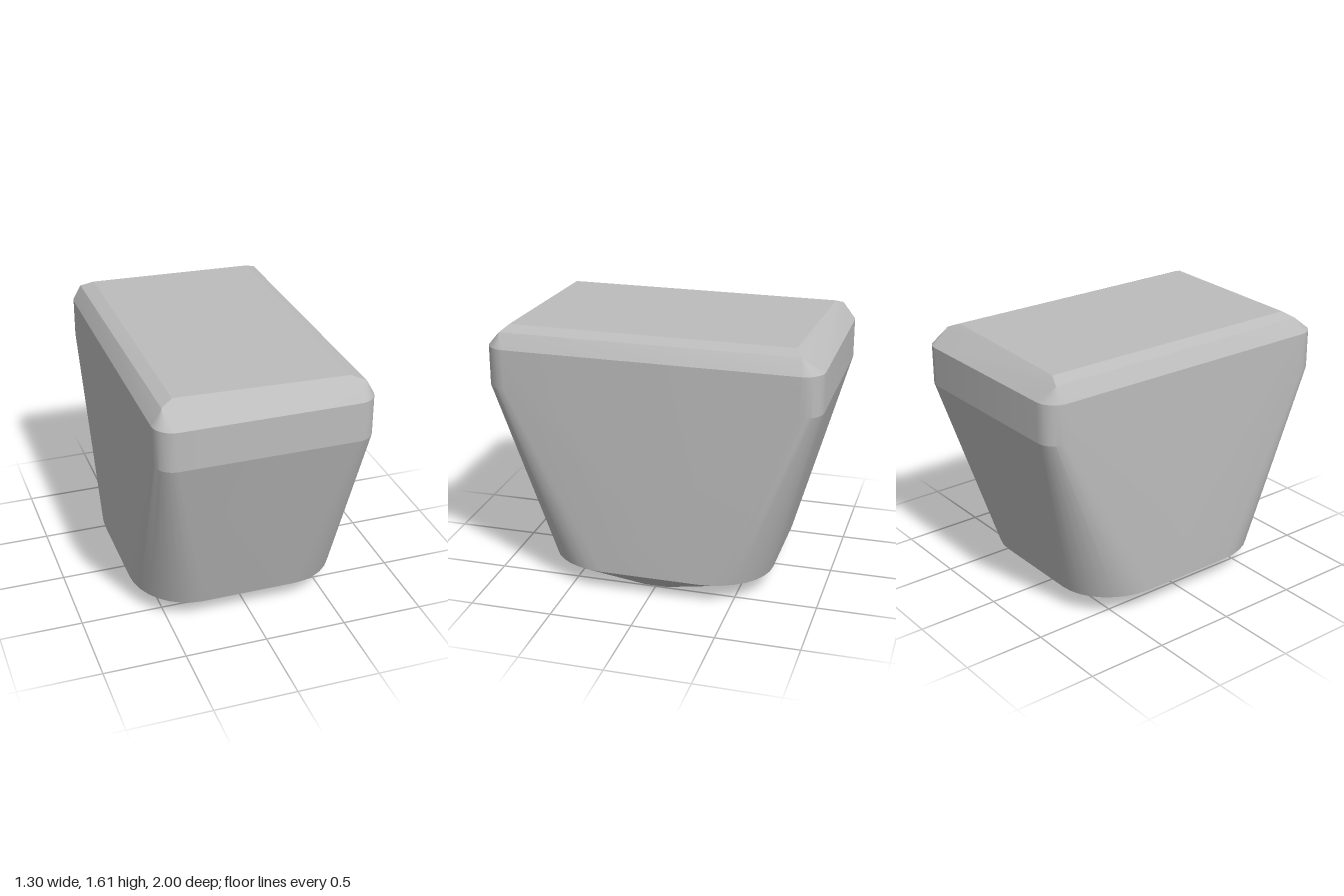
import * as THREE from 'three';
import { ConvexGeometry } from 'three/addons/geometries/ConvexGeometry.js';
import { toCreasedNormals } from 'three/addons/utils/BufferGeometryUtils.js';

// Rounded rectangle of points at height y, with elliptical corners rx by rz
function ring(y, halfX, halfZ, rx, rz, steps = 8) {
  const points = [];
  for (const sx of [-1, 1]) {
    for (const sz of [-1, 1]) {
      for (let i = 0; i <= steps; i++) {
        const a = (i / steps) * Math.PI / 2;
        points.push(new THREE.Vector3(
          sx * (halfX - rx + rx * Math.cos(a)), y,
          sz * (halfZ - rz + rz * Math.sin(a))));
      }
    }
  }
  return points;
}

export function createModel() {
  const group = new THREE.Group();
  group.name = 'taperedBlock';
  const grey = new THREE.MeshStandardMaterial({ color: 0xbcbcbc });
  grey.name = 'grey';

  const points = [
    ...ring(0.13, 0.645, 0.69, 0.35, 0.39), // bottom edge of the tapered sides
    ...ring(1.25, 0.645, 1.0, 0.12, 0.12),  // where the taper meets the upright rim
    ...ring(1.49, 0.645, 1.0, 0.12, 0.12),  // top of the rim
  ];

  // Slightly skewed top, the same after half a turn
  for (const s of [1, -1]) {
    for (const [x, y, z] of [[0.51, 1.61, 0.88], [0.51, 1.61, -0.83], [0.59, 1.58, 0.915], [0.58, 1.58, -0.87]]) {
      points.push(new THREE.Vector3(s * x, y, s * z));
    }
    // Faint swelling of the sides
    points.push(new THREE.Vector3(s * 0.65, 0.45, 0));
  }

  // Small flat foot
  for (const s of [1, -1]) {
    for (const [x, z] of [[-0.42, 0.1], [-0.22, 0.25], [0.25, 0.25], [0.49, 0.07]]) {
      points.push(new THREE.Vector3(x, 0, s * z));
    }
  }

  const body = new THREE.Mesh(toCreasedNormals(new ConvexGeometry(points), 0.25), grey);
  body.name = 'body';
  group.add(body);
  return group;
}
